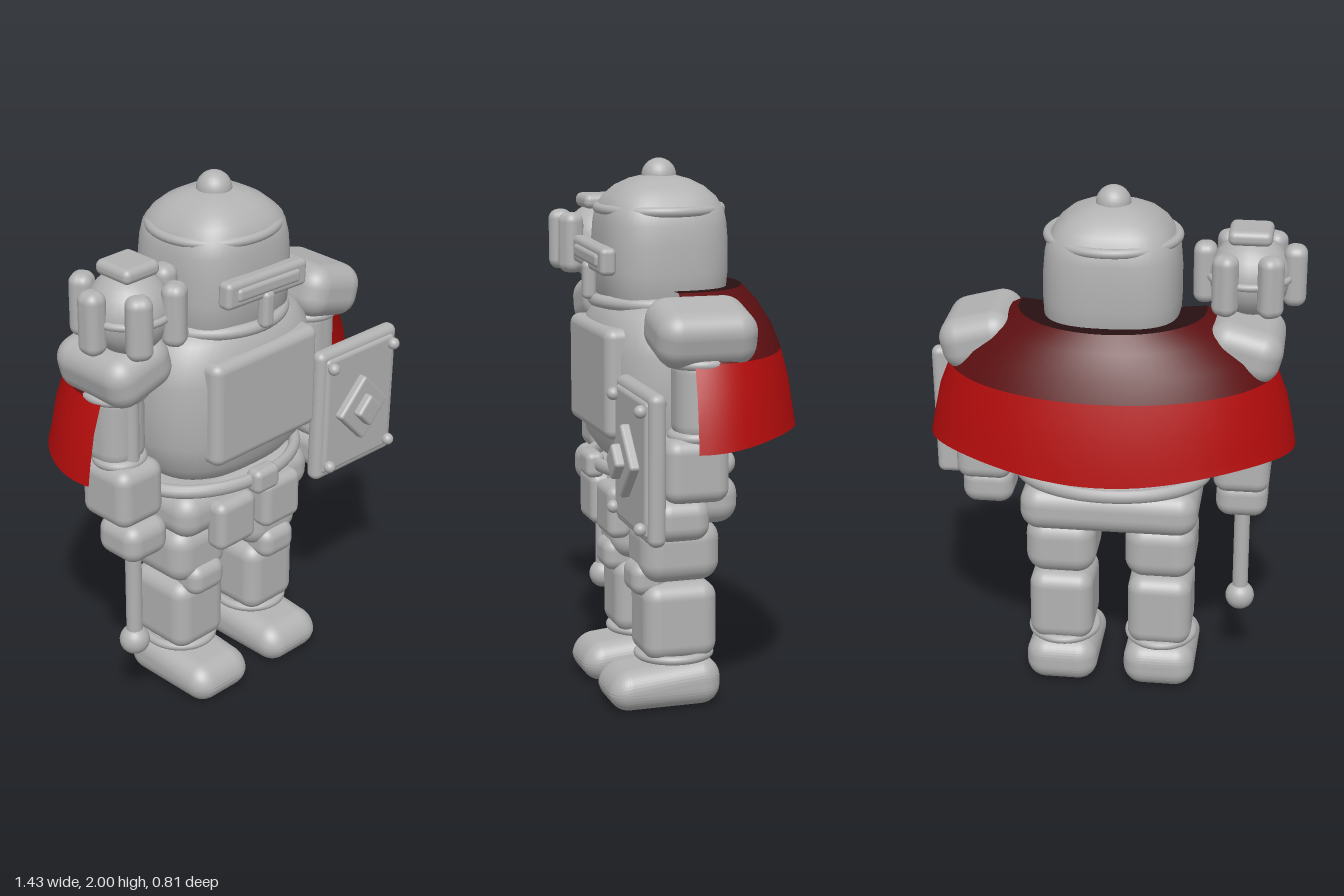
import * as THREE from 'three';
import { RoundedBoxGeometry } from 'three/addons/geometries/RoundedBoxGeometry.js';

const material = (name, color, side = THREE.FrontSide) => {
  const m = new THREE.MeshStandardMaterial({ color, side });
  m.name = name;
  return m;
};

// Skin over rings [y, halfX, halfZ], listed bottom to top, with superellipse power p
function loft(rings, { p = 2, from = 0, to = Math.PI * 2, steps = 48, wave = 0 } = {}) {
  const pos = [], index = [];
  const closed = to - from > 6.28;
  const cols = closed ? steps : steps + 1;
  const bend = (v) => Math.sign(v) * Math.abs(v) ** (2 / p);
  rings.forEach(([y, hx, hz], i) => {
    for (let j = 0; j < cols; j++) {
      const t = from + ((to - from) * j) / steps;
      const hem = i === 0 ? wave * (1 - Math.cos((j / steps) * Math.PI * 4)) : 0;
      pos.push(hx * bend(Math.cos(t)), y + hem, hz * bend(Math.sin(t)));
    }
  });
  for (let i = 0; i < rings.length - 1; i++) {
    for (let j = 0; j < steps; j++) {
      const a = i * cols + j, b = i * cols + ((j + 1) % cols);
      index.push(a, a + cols, b, b, a + cols, b + cols);
    }
  }
  const g = new THREE.BufferGeometry();
  g.setAttribute('position', new THREE.Float32BufferAttribute(pos, 3));
  g.setIndex(index);
  g.computeVertexNormals();
  return g;
}

export function createModel() {
  const steel = material('grey steel', 0xb2b2b2);
  const red = material('red cloth', 0xb40c0c, THREE.DoubleSide);
  const darkRed = material('dark red cloth', 0x5c0f11, THREE.DoubleSide);
  const black = material('dark collar cloth', 0x281012, THREE.DoubleSide);

  const model = new THREE.Group();
  model.name = 'armouredKnight';
  const body = new THREE.Group();
  body.name = 'knight';
  body.position.x = -0.022;
  model.add(body);

  const add = (parent, name, geo, x, y, z, mat = steel) => {
    const m = new THREE.Mesh(geo, mat);
    m.name = name;
    m.position.set(x, y, z);
    parent.add(m);
    return m;
  };
  const box = (parent, name, w, h, d, r, x, y, z) =>
    add(parent, name, new RoundedBoxGeometry(w, h, d, 5, r), x, y, z);
  const ball = (parent, name, r, x, y, z) =>
    add(parent, name, new THREE.SphereGeometry(r, 24, 16), x, y, z);
  const rod = (parent, name, r, h, x, y, z) =>
    add(parent, name, new THREE.CylinderGeometry(r, r, h, 24), x, y, z);
  // Horizontal ring, squeezed in depth by the factor dz
  const ring = (parent, name, R, r, x, y, z, dz = 1) => {
    const g = new THREE.TorusGeometry(R, r, 12, 48).rotateX(Math.PI / 2).scale(1, 1, dz);
    return add(parent, name, g, x, y, z);
  };
  const group = (parent, name, x = 0, y = 0, z = 0) => {
    const g = new THREE.Group();
    g.name = name;
    g.position.set(x, y, z);
    parent.add(g);
    return g;
  };

  // Helmet
  const head = group(body, 'head', 0, 0, 0.065);
  add(head, 'helmet', loft([
    [1.48, 0.22, 0.2], [1.5, 0.245, 0.225], [1.6, 0.25, 0.235], [1.7, 0.249, 0.235],
    [1.77, 0.243, 0.23], [1.82, 0.23, 0.222], [1.865, 0.2, 0.195], [1.9, 0.16, 0.155],
    [1.925, 0.11, 0.105], [1.94, 0.05, 0.05], [1.943, 0.001, 0.001],
  ], { p: 2.9 }), 0, 0, 0);
  ball(head, 'helmetKnob', 0.064, 0, 1.936, 0);
  ring(head, 'browRing', 0.236, 0.018, 0, 1.82, 0, 0.95);
  ring(head, 'neckRing', 0.255, 0.024, 0, 1.49, 0, 0.95);
  const visor = group(head, 'visor', -0.003, 1.652, 0.245);
  visor.rotation.z = -0.04;
  box(visor, 'visorPlate', 0.395, 0.1, 0.06, 0.02, 0, 0, 0);
  box(visor, 'visorSlot', 0.31, 0.05, 0.04, 0.015, 0, 0, 0.02);
  box(visor, 'noseGuard', 0.052, 0.14, 0.05, 0.02, 0, -0.09, 0.02);

  // Torso and chest plate
  add(body, 'torso', loft([
    [0.87, 0.001, 0.001], [0.875, 0.2, 0.15], [0.92, 0.295, 0.21], [0.98, 0.35, 0.25],
    [1.08, 0.375, 0.268], [1.2, 0.38, 0.27], [1.32, 0.378, 0.27], [1.4, 0.36, 0.255],
    [1.46, 0.32, 0.225], [1.5, 0.25, 0.18], [1.51, 0.001, 0.001],
  ], { p: 2.6 }), 0, 0, 0.065);
  const plate = new RoundedBoxGeometry(0.52, 0.4, 0.1, 8, 0.035);
  const pp = plate.attributes.position;
  for (let i = 0; i < pp.count; i++) pp.setZ(i, pp.getZ(i) - 0.35 * pp.getX(i) ** 2);
  add(body, 'chestPlate', plate, 0.004, 1.213, 0.312);

  // Belt, pouches and hips
  ring(body, 'belt', 0.35, 0.026, 0, 0.886, 0.065, 0.72);
  box(body, 'buckle', 0.12, 0.095, 0.07, 0.025, -0.003, 0.882, 0.325);
  box(body, 'hips', 0.67, 0.18, 0.41, 0.075, 0, 0.78, 0.06);

  // Foot with a toe that slopes down
  const foot = new RoundedBoxGeometry(0.275, 0.178, 0.425, 6, 0.075);
  const fp = foot.attributes.position;
  for (let i = 0; i < fp.count; i++) {
    const slope = Math.max(0, fp.getZ(i) + 0.02) * 0.17;
    if (fp.getY(i) > 0) fp.setY(i, fp.getY(i) - slope);
  }
  foot.computeVertexNormals();

  for (const s of [-1, 1]) {
    const side = s > 0 ? 'left' : 'right';
    box(body, side + 'Pouch', 0.192, 0.196, 0.09, 0.035, s * 0.118, 0.734, 0.277);

    // Leg
    const leg = group(body, side + 'Leg', s * 0.19, 0, 0.07);
    box(leg, 'thigh', 0.268, 0.23, 0.3, 0.075, 0, 0.592, 0);
    box(leg, 'kneeGuard', 0.165, 0.125, 0.13, 0.045, -s * 0.002, 0.488, 0.112);
    box(leg, 'shin', 0.245, 0.29, 0.28, 0.06, 0, 0.328, 0);
    ring(leg, 'ankleRing', 0.124, 0.017, 0, 0.19, 0, 1.06);
    add(leg, 'foot', foot, 0, 0.091, 0.057);

    // Arm
    const arm = group(body, side + 'Arm', s * 0.488, 0, 0.085);
    const pad = box(arm, 'shoulderPad', 0.285, 0.2, 0.365, 0.08, -s * 0.005, 1.428, -0.022);
    pad.rotation.z = -s * 0.26;
    box(arm, 'upperArm', 0.19, 0.34, 0.19, 0.08, 0, 1.2, -0.015);
    ring(arm, 'upperArmRing', 0.105, 0.018, 0, 1.325, -0.015);
    ring(arm, 'elbowRing', 0.08, 0.02, 0, 1.065, 0);
    box(arm, 'forearm', 0.21, 0.23, 0.235, 0.05, 0, 0.95, 0.015);
    box(arm, 'hand', 0.195, 0.15, 0.2, 0.055, 0, 0.775, 0.065);
  }

  // Mace in the right hand
  const mace = group(body, 'mace', -0.49, 0, 0.15);
  rod(mace, 'shaft', 0.03, 1.25, 0, 0.96, 0);
  ball(mace, 'pommel', 0.056, 0, 0.32, 0);
  ball(mace, 'maceHead', 0.15, 0, 1.655, 0);
  ring(mace, 'maceRing', 0.145, 0.015, 0, 1.655, 0);
  box(mace, 'maceCap', 0.16, 0.055, 0.165, 0.024, 0, 1.812, 0);
  for (let i = 0; i < 6; i++) {
    const a = (i * Math.PI) / 3;
    const f = box(mace, 'flange', 0.085, 0.23, 0.092, 0.036,
      0.163 * Math.cos(a), 1.66, 0.163 * Math.sin(a));
    f.rotation.y = -a;
  }

  // Shield on the left arm
  const shield = group(body, 'shield', 0.513, 0.995, 0.29);
  shield.rotation.z = -0.02;
  box(shield, 'shieldPlate', 0.43, 0.53, 0.062, 0.028, 0, 0, 0);
  box(shield, 'shieldPanel', 0.375, 0.475, 0.04, 0.018, 0, 0, 0.022);
  for (const x of [-1, 1]) for (const y of [-1, 1])
    ball(shield, 'rivet', 0.023, x * 0.167, y * 0.204, 0.052);
  const diamond = (name, size, z) => {
    const d = box(shield, name, size, size, 0.04, 0.012, -0.006, -0.002, z);
    d.rotation.z = Math.PI / 4;
  };
  diamond('outerDiamond', 0.19, 0.055);
  diamond('innerDiamond', 0.095, 0.088);

  // Cape in three bands, open at the front
  const open = { from: Math.PI * 0.945, to: Math.PI * 2.055 };
  const cape = group(body, 'cape', 0, 0, 0.05);
  const hem = [1.33, 0.605, 0.405], fold = [1.545, 0.345, 0.28];
  add(cape, 'capeSkirt', loft([
    [1.03, 0.683, 0.458], [1.1, 0.672, 0.45], [1.22, 0.647, 0.432], hem,
  ], { ...open, wave: 0.016 }), 0, 0, 0, red);
  add(cape, 'capeShoulders', loft([
    hem, [1.41, 0.55, 0.375], [1.49, 0.45, 0.33], fold,
  ], open), 0, 0, 0, darkRed);
  add(cape, 'capeCollar', loft([fold, [1.54, 0.24, 0.21]], open), 0, 0, 0, black);

  return model;
}
